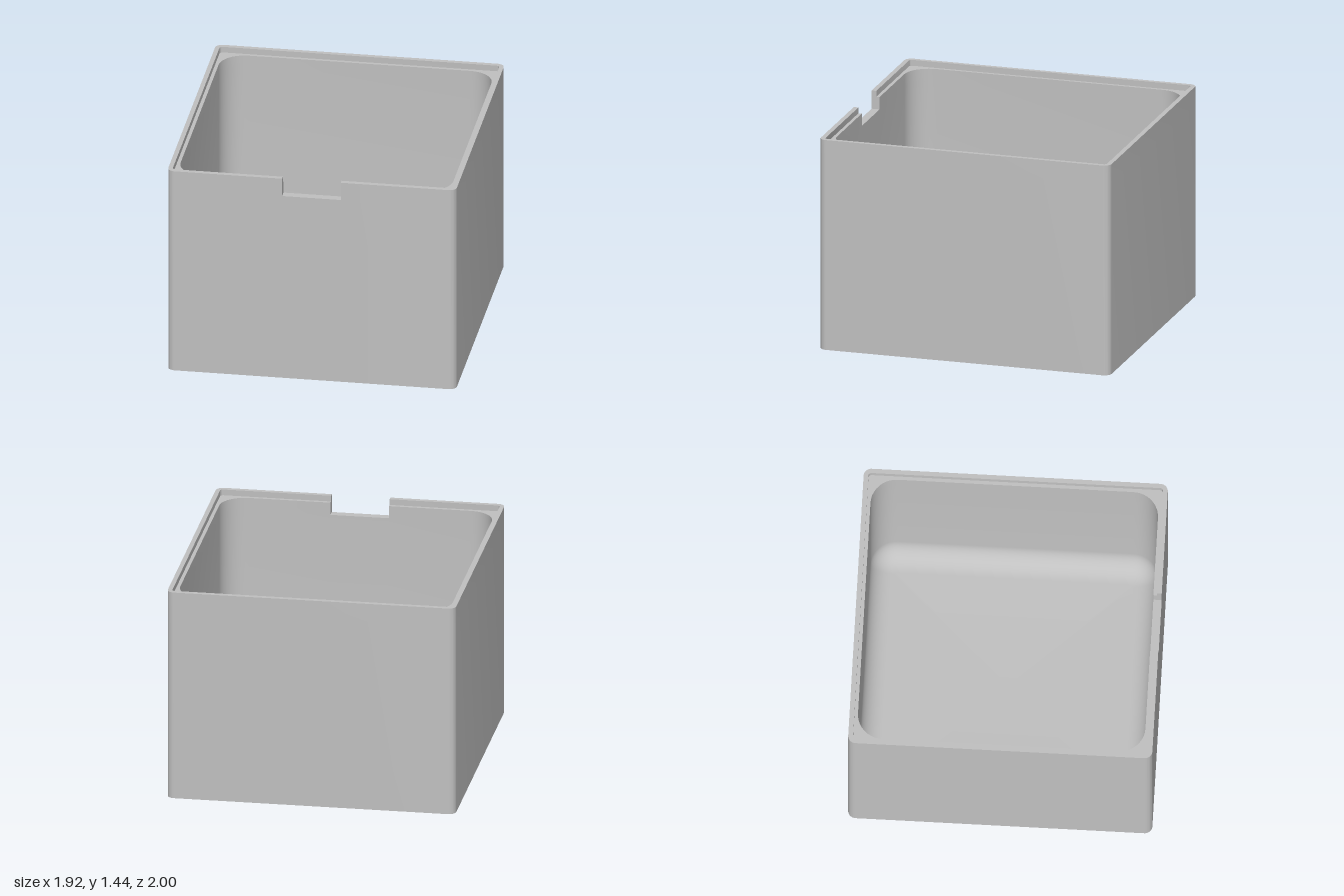
import * as THREE from 'three';
import { toCreasedNormals } from 'three/addons/utils/BufferGeometryUtils.js';

const CORNER_STEPS = 10;
const NOTCH_X = 0.195;   // half width of the notch
const NOTCH_Y = 1.315;   // floor of the notch
const TOP = 1.44, LEDGE = 1.4, FLOOR = 0.055, FILLET = 0.16;

// Rounded rectangle at height y, with two extra points at the front for the notch
function ring(hw, hd, r, y) {
  const pts = [];
  for (let c = 0; c < 4; c++) {
    const sx = c === 0 || c === 3 ? 1 : -1;
    const sz = c < 2 ? 1 : -1;
    for (let i = 0; i <= CORNER_STEPS; i++) {
      const a = (c + i / CORNER_STEPS) * Math.PI / 2;
      pts.push([sx * (hw - r) + r * Math.cos(a), y, sz * (hd - r) + r * Math.sin(a)]);
    }
    if (c === 0) {
      const nx = Math.min(NOTCH_X, hw);
      pts.push([nx, y, hd], [-nx, y, hd]);
    }
  }
  return pts;
}

// Skin between consecutive rings; keep(ringIndex, segment) leaves gaps
function loft(rings, keep) {
  const pos = [];
  const tri = (a, b, c) => {
    const [A, B, C] = [a, b, c].map(p => new THREE.Vector3(...p));
    if (B.clone().sub(A).cross(C.clone().sub(A)).length() > 1e-9) pos.push(...a, ...b, ...c);
  };
  for (let k = 0; k + 1 < rings.length; k++) {
    const L = rings[k], U = rings[k + 1], n = L.length;
    for (let i = 0; i < n; i++) {
      if (!keep(k, i)) continue;
      const j = (i + 1) % n;
      tri(L[i], U[i], U[j]);
      tri(L[i], U[j], L[j]);
    }
  }
  const g = new THREE.BufferGeometry();
  g.setAttribute('position', new THREE.Float32BufferAttribute(pos, 3));
  return toCreasedNormals(g, 0.6);
}

export function createModel() {
  const group = new THREE.Group();
  group.name = 'openBox';
  const grey = new THREE.MeshStandardMaterial({ color: 0xc0c0c0 });
  grey.name = 'grey';
  const add = (name, geometry) => {
    const mesh = new THREE.Mesh(geometry, grey);
    mesh.name = name;
    group.add(mesh);
  };

  // Closed shell: underside, outer wall, rim, stepped ledge, cavity and filleted floor
  const outer = y => ring(0.96, 1, 0.05, y);
  const cavity = y => ring(0.907, 0.945, 0.17, y);
  const rings = [
    ring(0, 0, 0, 0), outer(0), outer(NOTCH_Y), outer(TOP),
    ring(0.93, 0.968, 0.02, TOP), ring(0.93, 0.968, 0.02, LEDGE),
    cavity(LEDGE), cavity(NOTCH_Y),
  ];
  for (let i = 0; i <= 10; i++) {
    const a = i / 10 * Math.PI / 2;
    const inset = FILLET * (1 - Math.cos(a));
    rings.push(ring(0.907 - inset, 0.945 - inset, 0.17 - inset, FLOOR + FILLET * (1 - Math.sin(a))));
  }
  rings.push(ring(0, 0, 0, FLOOR));
  const notchSegment = CORNER_STEPS + 1;
  add('shell', loft(rings, (k, i) => !(i === notchSegment && k >= 2 && k <= 6)));

  // Notch floor across the front wall
  add('notchFloor', loft([outer(NOTCH_Y), cavity(NOTCH_Y)], (k, i) => i === notchSegment));

  // Notch sides follow the stepped wall section
  const section = [[1, NOTCH_Y], [1, TOP], [0.968, TOP], [0.968, LEDGE], [0.945, LEDGE], [0.945, NOTCH_Y]];
  for (const s of [1, -1]) {
    const shape = new THREE.Shape(section.map(([z, y]) => new THREE.Vector2(s * z, y)));
    const side = new THREE.ShapeGeometry(shape);
    side.rotateY(-s * Math.PI / 2).translate(s * NOTCH_X, 0, 0);
    add(s > 0 ? 'notchSideLeft' : 'notchSideRight', side);
  }
  return group;
}
